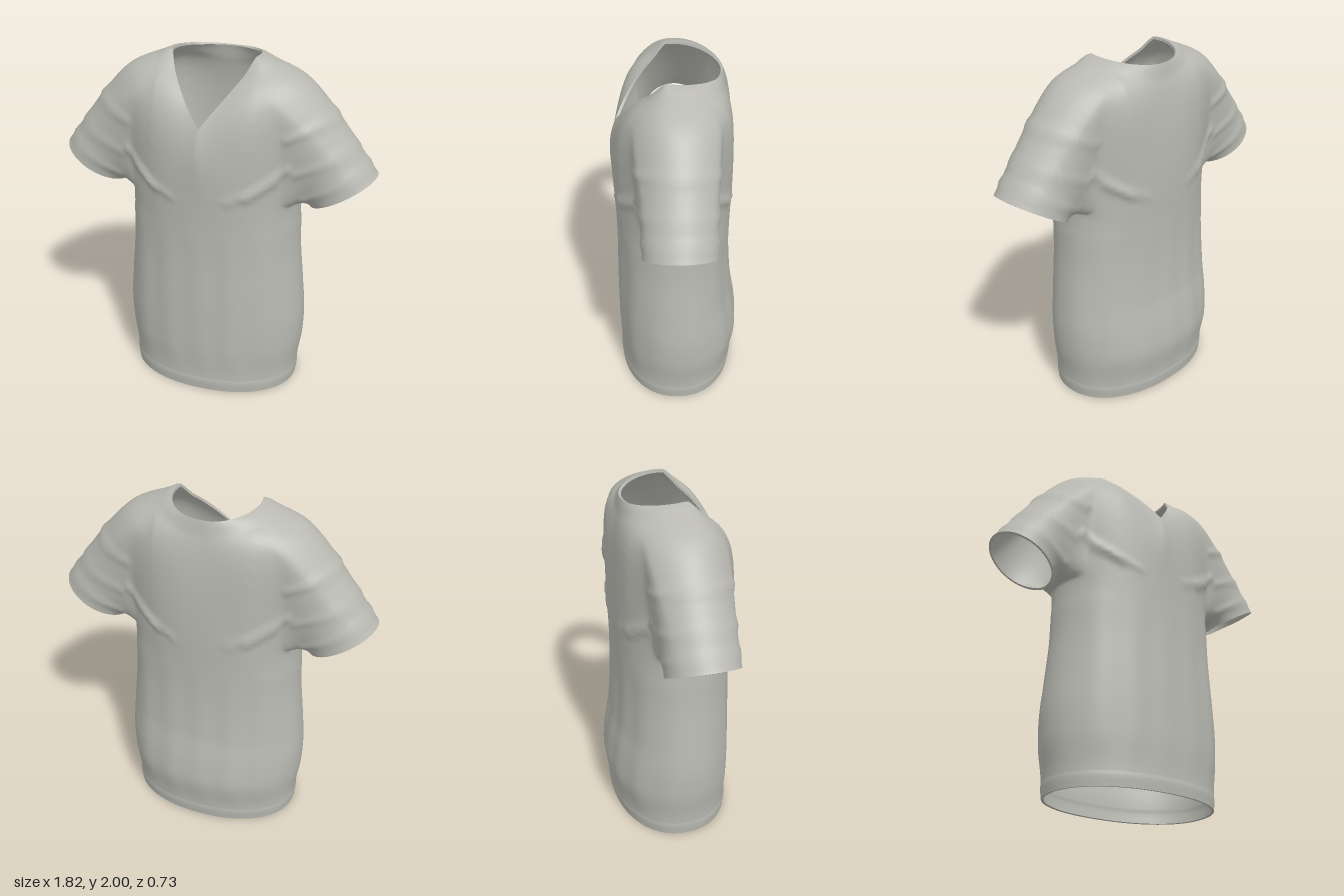
import * as THREE from 'three';

const N = 128;            // columns round the torso
const LOW = 44, UP = 40;  // rows below and above the armpit
const HOLE = 30, HALF = 12, SLEEVE = 26; // armhole rows, half width in columns, sleeve rows
const ARMPIT = 1.2, THICK = 0.014;
const V = (x, y, z) => new THREE.Vector3(x, y, z);
const spow = (v, e) => Math.sign(v) * Math.abs(v) ** e;
const smooth = THREE.MathUtils.smoothstep;

// torso sections: height, half width, front depth, back depth
const sections = [
  [0, 0.502, 0.345, 0.335], [0.06, 0.508, 0.349, 0.342], [0.085, 0.507, 0.346, 0.341],
  [0.28, 0.53, 0.352, 0.365], [0.42, 0.535, 0.352, 0.352], [0.6, 0.524, 0.35, 0.322],
  [0.9, 0.5, 0.345, 0.306], [1.1, 0.494, 0.348, 0.308], [ARMPIT, 0.492, 0.352, 0.312],
];
const widthCurve = new THREE.CatmullRomCurve3(sections.map(([, w, f, b]) => V(w, f, b)));

function torsoPoint(a, row) {
  const t = row / LOW * (sections.length - 1);
  const k = Math.min(Math.floor(t), sections.length - 2);
  const y = THREE.MathUtils.lerp(sections[k][0], sections[k + 1][0], t - k);
  const r = widthCurve.getPoint(row / LOW);
  const s = Math.sin(a);
  return V(r.x * spow(Math.cos(a), 0.92), y, (s > 0 ? r.y : r.z) * spow(s, 0.92));
}

// neck edge: straight V at the front, round at the back
function neckPoint(a) {
  const side = Math.sign(Math.round(Math.cos(a) * 1e6));
  const f = Math.acos(THREE.MathUtils.clamp(Math.sin(a), -1, 1)) * 180 / Math.PI;
  if (f < 75) {
    const q = f / 75, p = 1 - q;
    const x = 2 * p * q * 0.16 + q * q * 0.232;
    return V(side * x, 1.66 + 1.32 * x, p * p * 0.33 + 2 * p * q * 0.23 + q * q * 0.062);
  }
  const u = (f - 75) / 105, b = (15 - 105 * u) * Math.PI / 180;
  return V(side * 0.24 * Math.cos(b), 1.967 - 0.037 * smooth(u, 0, 1), 0.245 * Math.sin(b));
}

// chest, back and shoulders: one curve per column from armpit level to the neck
function yokePoint(a, t) {
  const c = Math.cos(a), s = Math.sin(a), w = Math.abs(c);
  const p0 = torsoPoint(a, LOW), p3 = neckPoint(a);
  const p1 = p0.clone().add(V(c * 0.01, (0.45 + 0.18 * w) * (p3.y - p0.y), s * 0.01));
  const k = 0.06 + 0.33 * w * w;
  const p2 = p3.clone().add(V(c * k, -0.15 * (1 - w * w) + 0.015 * w, s * k));
  const p = new THREE.CubicBezierCurve3(p0, p1, p2, p3).getPoint(t);
  // raised collar band round the back and shoulders
  const f = Math.acos(THREE.MathUtils.clamp(s, -1, 1)) * 180 / Math.PI;
  p.y += 0.033 * smooth(f, 55, 78) * smooth(t, 0.89, 1);
  return p;
}

function sleevePoint(p0, sx, s) {
  const phi = Math.atan2(p0.z / 0.22, (p0.y - 1.57) / 0.37);
  const p3 = V(sx * (0.73 + 0.18 * Math.cos(phi)), 1.285 + 0.105 * Math.cos(phi), 0.198 * Math.sin(phi) - 0.005);
  const d = p0.distanceTo(p3);
  const p1 = p0.clone().add(V(sx * 0.12 * d, 0, 0));
  const p2 = p3.clone().add(V(-sx * 0.27 * d, 0.4 * d, 0));
  return new THREE.CubicBezierCurve3(p0, p1, p2, p3).getPoint(s);
}

// cloth folds and seams as x1, y1, x2, y2, height
const folds = [
  [0.45, 1.62, 0.7, 1.73, 0.01], [0.5, 1.42, 0.78, 1.55, 0.008], [0.54, 1.26, 0.85, 1.45, 0.008],
  [0.26, 1.29, 0.46, 1.45, 0.013], [0.16, 1.26, 0.4, 1.37, 0.008],
];
function foldHeight(p) {
  const x = Math.abs(p.x);
  let h = 0.003 * Math.cos(p.x * 34) * smooth(p.y, 0.05, 0.3) * (1 - smooth(p.y, 0.8, 1.2));
  for (const [x1, y1, x2, y2, amp] of folds) {
    const dx = x2 - x1, dy = y2 - y1;
    const t = THREE.MathUtils.clamp(((x - x1) * dx + (p.y - y1) * dy) / (dx * dx + dy * dy), 0, 1);
    const d = Math.hypot(x - x1 - t * dx, p.y - y1 - t * dy);
    h += amp * Math.exp(-((d / 0.022) ** 2));
  }
  return h;
}

function buildCloth() {
  const pts = [], index = [];
  const id = (i, j) => j * N + ((i + N) % N);
  const quad = (a, b, c, d) => index.push(a, c, b, a, d, c);
  for (let j = 0; j <= LOW + UP; j++) {
    for (let i = 0; i < N; i++) {
      const a = i / N * Math.PI * 2;
      pts.push(j <= LOW ? torsoPoint(a, j) : yokePoint(a, (j - LOW) / UP));
    }
  }
  // torso skin, leaving out the two armholes
  for (let j = 0; j < LOW + UP; j++) {
    for (let i = 0; i < N; i++) {
      const m = (i + HALF) % (N / 2);
      if (j >= LOW && j < LOW + HOLE && m < 2 * HALF) continue;
      quad(id(i, j), id(i + 1, j), id(i + 1, j + 1), id(i, j + 1));
    }
  }
  // sleeves grown from the armhole edges
  for (const [mid, sx] of [[0, 1], [N / 2, -1]]) {
    const loop = [];
    for (let i = -HALF; i < HALF; i++) loop.push(id(mid + i, LOW));
    for (let j = 0; j < HOLE; j++) loop.push(id(mid + HALF, LOW + j));
    for (let i = HALF; i > -HALF; i--) loop.push(id(mid + i, LOW + HOLE));
    for (let j = HOLE; j > 0; j--) loop.push(id(mid - HALF, LOW + j));
    let prev = loop;
    for (let s = 1; s <= SLEEVE; s++) {
      const next = loop.map((v) => pts.push(sleevePoint(pts[v], sx, s / SLEEVE)) - 1);
      next.forEach((v, k) => {
        const n = (k + 1) % loop.length;
        quad(prev[k], prev[n], next[n], v);
      });
      prev = next;
    }
  }
  return { pts, index };
}

// edges that belong to a single triangle
function openEdges(index) {
  const seen = new Map();
  for (let f = 0; f < index.length; f += 3) {
    for (let e = 0; e < 3; e++) {
      const a = index[f + e], b = index[f + (e + 1) % 3];
      if (!seen.delete(b + '_' + a)) seen.set(a + '_' + b, [a, b]);
    }
  }
  return [...seen.values()];
}

// relax the shoulders and armpits so the sleeves flow into the torso
function relax(pts, index, pinned) {
  const near = pts.map(() => new Set());
  for (let f = 0; f < index.length; f += 3) {
    for (let e = 0; e < 3; e++) {
      near[index[f + e]].add(index[f + (e + 1) % 3]).add(index[f + (e + 2) % 3]);
    }
  }
  for (let n = 0; n < 18; n++) {
    const old = pts.map((p) => p.clone());
    pts.forEach((p, v) => {
      if (pinned.has(v) || !near[v].size || Math.abs(p.x) < 0.28 || p.y < 1.05) return;
      const mean = V(0, 0, 0);
      near[v].forEach((o) => mean.add(old[o]));
      p.lerp(mean.divideScalar(near[v].size), 0.5);
    });
  }
}

function skin(pts, index) {
  const g = new THREE.BufferGeometry().setFromPoints(pts);
  g.setIndex(index);
  g.computeVertexNormals();
  return g;
}

export function createModel() {
  const group = new THREE.Group();
  group.name = 'shirt';
  const cloth = new THREE.MeshStandardMaterial({ color: 0xb9b9b2 });
  cloth.name = 'grey cloth';
  const add = (name, geometry) => {
    const mesh = new THREE.Mesh(geometry, cloth);
    mesh.name = name;
    group.add(mesh);
  };

  const { pts, index } = buildCloth();
  const edges = openEdges(index);
  relax(pts, index, new Set(edges.flat()));
  const shift = (amount) => {
    const n = skin(pts, index).attributes.normal;
    return pts.map((p, v) => p.clone().addScaledVector(V(0, 0, 0).fromBufferAttribute(n, v), amount(p, v)));
  };
  const pinned = new Set(edges.flat());
  const outer = shift((p, v) => (pinned.has(v) ? 0 : foldHeight(p)));
  const inner = shift(() => -THICK);
  add('outerCloth', skin(outer, index));
  add('lining', skin(inner, index.slice().reverse()));

  // rims closing the cloth at hem, cuffs and neck
  const rim = edges.flatMap(([a, b]) => [outer[b], outer[a], inner[a], outer[b], inner[a], inner[b]]);
  const rimGeometry = new THREE.BufferGeometry().setFromPoints(rim);
  rimGeometry.computeVertexNormals();
  add('hemCuffAndNeckRims', rimGeometry);
  return group;
}
